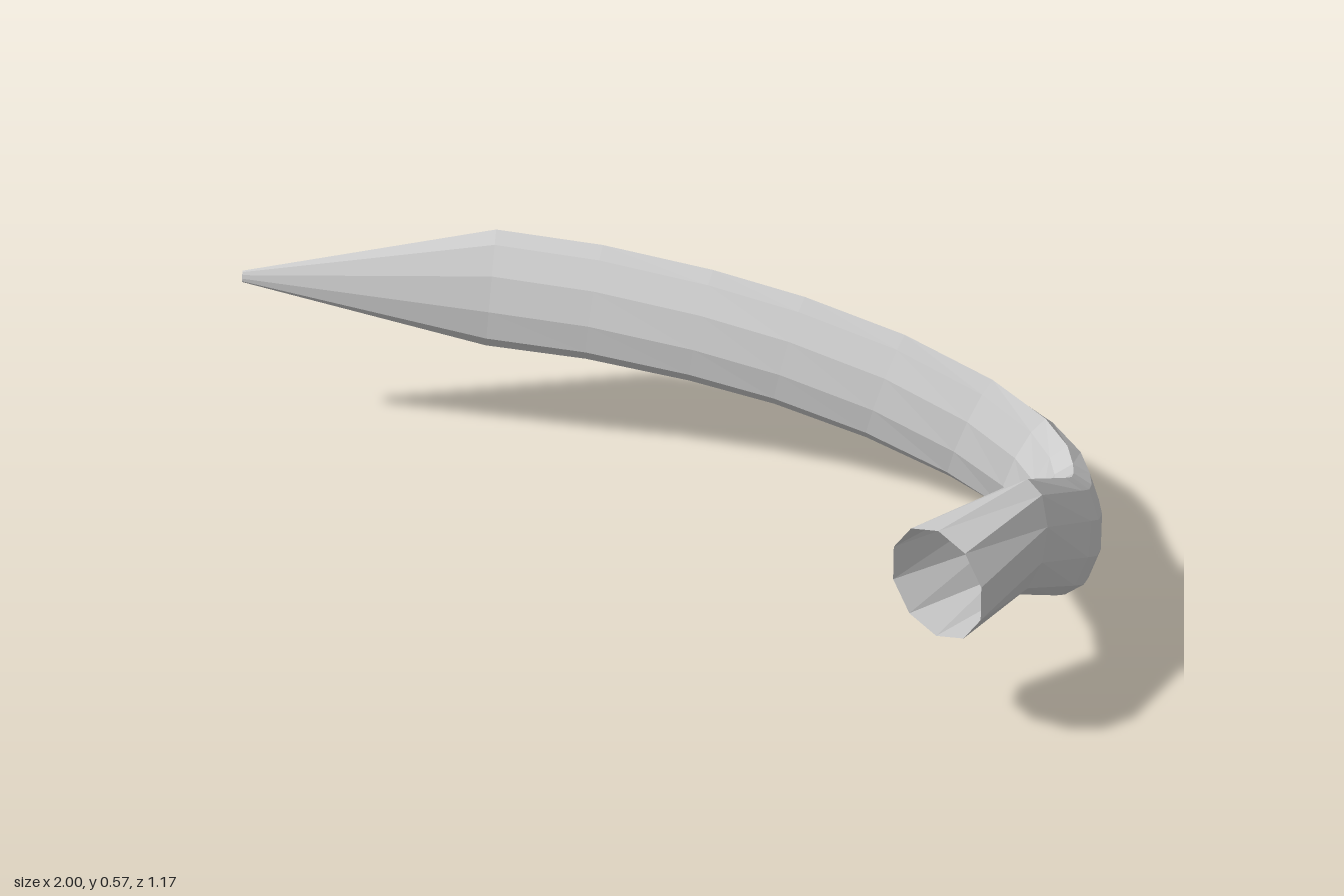
import * as THREE from 'three';

// Stations along the centre line, from socket to tip:
// x, y, z, half width, half height, outward lean in degrees
const STATIONS = [
  [0.77, 0.44, 0.52, 0.135, 0.135, 0],
  [0.90, 0.433, 0.28, 0.07, 0.135, 0],
  [0.93, 0.265, 0.0, 0.07, 0.13, -3],
  [0.925, 0.205, -0.1, 0.069, 0.13, 0],
  [0.91, 0.155, -0.2, 0.069, 0.13, 2],
  [0.883, 0.133, -0.29, 0.068, 0.13, 5],
  [0.835, 0.14, -0.37, 0.068, 0.13, 8],
  [0.755, 0.165, -0.43, 0.067, 0.13, 10],
  [0.62, 0.213, -0.475, 0.066, 0.13, 12],
  [0.42, 0.277, -0.503, 0.065, 0.13, 14],
  [0.2, 0.332, -0.515, 0.065, 0.13, 15],
  [0.0, 0.368, -0.517, 0.065, 0.131, 16],
  [-0.24, 0.399, -0.511, 0.065, 0.132, 17],
  [-0.47, 0.415, -0.494, 0.062, 0.133, 17],
  [-1.0, 0.457, -0.352, 0.006, 0.013, 17],
];
const SIDES = 10;

function sweptTube() {
  const centres = STATIONS.map(([x, y, z]) => new THREE.Vector3(x, y, z));
  const up = new THREE.Vector3(0, 1, 0);
  const last = centres.length - 1;
  const positions = [], index = [];
  const direction = (a, b) => centres[b].clone().sub(centres[a]).normalize();

  centres.forEach((centre, i) => {
    const [, , , w, h, lean] = STATIONS[i];
    // Mitred ring: its plane halves the angle between neighbouring spans
    const t = new THREE.Vector3();
    if (i > 0) t.add(direction(i - 1, i));
    if (i < last) t.add(direction(i, i + 1));
    t.normalize();
    const side = t.clone().cross(up).normalize();
    const top = side.clone().cross(t);
    const roll = THREE.MathUtils.degToRad(lean);
    const major = top.clone().multiplyScalar(Math.cos(roll)).addScaledVector(side, Math.sin(roll));
    const minor = side.clone().multiplyScalar(Math.cos(roll)).addScaledVector(top, -Math.sin(roll));
    for (let j = 0; j < SIDES; j++) {
      const a = Math.PI / 2 + (j / SIDES) * Math.PI * 2;
      const p = centre.clone()
        .addScaledVector(minor, w * Math.cos(a))
        .addScaledVector(major, h * Math.sin(a));
      positions.push(p.x, p.y, p.z);
    }
  });

  for (let i = 0; i < last; i++) {
    for (let j = 0; j < SIDES; j++) {
      const k = (j + 1) % SIDES;
      const a = i * SIDES + j, b = i * SIDES + k;
      index.push(a, a + SIDES, b, b, a + SIDES, b + SIDES);
    }
  }
  // Small cap closing the tip
  const base = last * SIDES;
  for (let j = 1; j < SIDES - 1; j++) index.push(base, base + j + 1, base + j);

  const geometry = new THREE.BufferGeometry();
  geometry.setAttribute('position', new THREE.Float32BufferAttribute(positions, 3));
  geometry.setIndex(index);
  const faceted = geometry.toNonIndexed();
  faceted.computeVertexNormals();
  return faceted;
}

export function createModel() {
  const group = new THREE.Group();
  group.name = 'curvedHorn';
  // Open round socket, bent arm and pointed end in one hollow skin
  const horn = new THREE.Mesh(sweptTube(), new THREE.MeshStandardMaterial({
    color: 0xcccccc, flatShading: true, side: THREE.DoubleSide,
  }));
  horn.name = 'horn';
  group.add(horn);
  return group;
}
